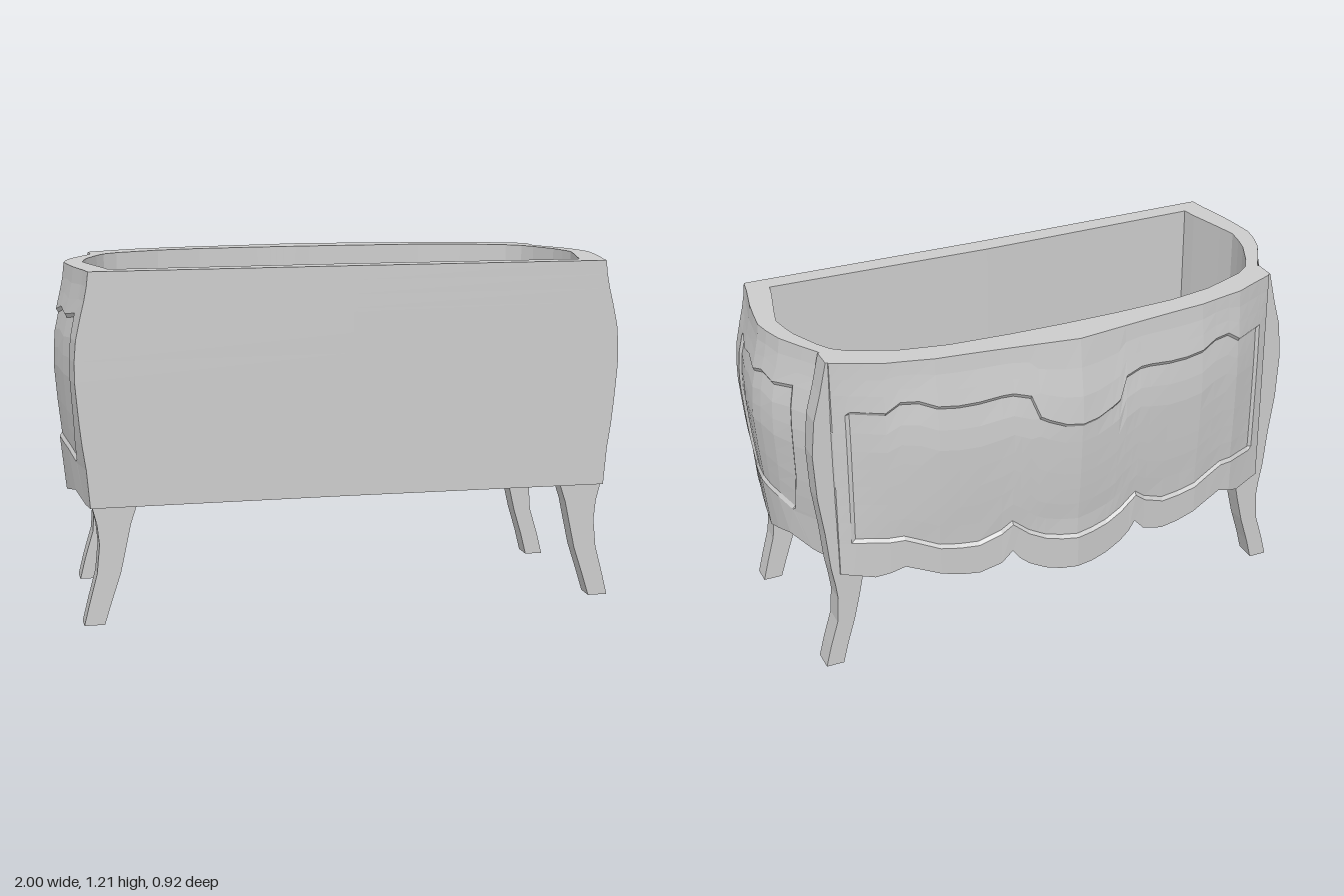
import * as THREE from 'three';

const material = new THREE.MeshStandardMaterial({ color: 0xcccccc, flatShading: true });
const TOP = 1.21, FLOOR = 0.53, RECESS = 0.01, BEVEL = 0.013;
const mix = THREE.MathUtils.lerp;

// Piecewise-linear lookup: rows are [key, value, value...] with rising keys
function look(table, key, col = 1) {
  let i = 1;
  while (i < table.length - 1 && key > table[i][0]) i++;
  const a = table[i - 1], b = table[i];
  const f = THREE.MathUtils.clamp((key - a[0]) / (b[0] - a[0]), 0, 1);
  return mix(a[col], b[col], f);
}

// Swelling of the walls by height
const BULGE = [[0.3, -0.05], [0.5, -0.042], [0.6, -0.025], [0.72, -0.012], [0.87, 0],
  [0.97, -0.006], [1.07, -0.028], [1.14, -0.046], [TOP, -0.054]];

// End wall by z: outer x, inner x, inner z, bottom edge
const SIDE = [[-0.165, 0.885, 0.79, -0.15, 0.4], [-0.1, 0.925, 0.82, -0.1, 0.41], [-0.01, 0.976, 0.865, 0, 0.44],
  [0.06, 0.998, 0.88, 0.06, 0.425], [0.12, 1.009, 0.89, 0.12, 0.41], [0.2, 1.001, 0.875, 0.19, 0.425],
  [0.28, 0.99, 0.86, 0.25, 0.44], [0.39, 0.967, 0.84, 0.33, 0.41], [0.455, 0.957, 0.83, 0.385, 0.41]];
const SIDE_KEYS = [-0.165, -0.1, -0.087, -0.01, 0.06, 0.12, 0.2, 0.28, 0.377, 0.39, 0.455];
const SIDE_HI = [[-0.1, 1.065], [-0.01, 1.05], [0.06, 1.068], [0.12, 1.05], [0.2, 1.068], [0.28, 1.05], [0.39, 1.065]];
const SIDE_LO = [[-0.1, 0.55], [-0.02, 0.58], [0.12, 0.602], [0.28, 0.582], [0.39, 0.545]];
// Width of the end panel from its foot to its head
const WAIST = [[0, 0.8], [0.3, 0.95], [0.62, 1], [1, 0.94]];

// Bowed wall by |x|: outer z, inner x, inner z
const BOW = [[0, -0.463, 0, -0.3], [0.24, -0.43, 0.2, -0.297], [0.5, -0.395, 0.42, -0.285],
  [0.67, -0.345, 0.58, -0.255], [0.83, -0.25, 0.74, -0.19]];
const BOW_KEYS = [0, 0.06, 0.12, 0.15, 0.18, 0.215, 0.24, 0.28, 0.36, 0.43, 0.5, 0.56, 0.62, 0.67, 0.72,
  0.775, 0.79, 0.83];
const BOW_HI = [[0, 0.9], [0.08, 0.91], [0.15, 0.95], [0.18, 1.03], [0.25, 1.05], [0.4, 1.03], [0.5, 1.04],
  [0.6, 1.08], [0.67, 1.03], [0.78, 1.03]];
const BOW_LO = [[0, 0.42], [0.1, 0.43], [0.18, 0.47], [0.24, 0.52], [0.3, 0.47], [0.38, 0.45], [0.5, 0.47],
  [0.62, 0.52], [0.78, 0.51]];
// Scalloped lower edge of the bowed wall by |x|
const APRON = [[0, 0.297], [0.06, 0.3], [0.12, 0.315], [0.18, 0.345], [0.215, 0.375], [0.24, 0.41], [0.28, 0.365],
  [0.36, 0.34], [0.43, 0.347], [0.5, 0.365], [0.62, 0.41], [0.72, 0.37], [0.83, 0.38]];

// Heights of one wall column: below the sunk panel, across it, and above it.
// t runs 0 to 1 across the panel and is null elsewhere; sunk marks its interior.
function wallRows(bottom, lo, hi, inPanel) {
  const rows = [{ y: bottom, t: null }, { y: lo, t: 0 }];
  for (let i = 0; i <= 7; i++) {
    const y = mix(lo + BEVEL, hi - BEVEL, i / 7);
    rows.push({ y, t: (y - lo) / (hi - lo), sunk: inPanel });
  }
  rows.push({ y: hi, t: 1 });
  for (const f of [0.33, 0.66, 1]) rows.push({ y: mix(hi, TOP, f), t: null });
  return rows;
}

// Closes a column over the rim, down the inside, and back to the bottom edge
function closeColumn(outer, ix, iz, upper, lower) {
  return [...outer, new THREE.Vector3(ix, TOP, iz), new THREE.Vector3(ix, FLOOR + 0.01, iz),
    upper, lower, outer[0].clone()];
}

// Underside sloping from the floor out to the bottom edge
function slopedColumn(outer, ix, iz) {
  const inner = new THREE.Vector3(ix, FLOOR, iz);
  const lower = outer[0].clone().lerp(new THREE.Vector3(ix, outer[0].y, iz), 0.15);
  return closeColumn(outer, ix, iz, inner, lower);
}

function sideColumn(s, z) {
  const inPanel = z > -0.1 && z < 0.39, movable = z >= -0.1 && z <= 0.39;
  const rows = wallRows(look(SIDE, z, 4), look(SIDE_LO, z), look(SIDE_HI, z), inPanel);
  const outer = rows.map(({ y, t, sunk }) => {
    const zz = movable && t !== null ? mix(0.145, z, look(WAIST, t)) : z;
    return new THREE.Vector3(s * (look(SIDE, zz) + look(BULGE, y) - (sunk ? RECESS : 0)), y, zz);
  });
  return slopedColumn(outer, s * look(SIDE, z, 2), look(SIDE, z, 3));
}

// Bowed wall column with its thick apron hanging below the floor
function bowColumn(x) {
  const a = Math.abs(x), bottom = look(APRON, a);
  const swell = 0.7 * (1 - (a / 0.83) ** 4);
  const outer = wallRows(bottom, look(BOW_LO, a), look(BOW_HI, a), a < 0.79).map(({ y, sunk }) =>
    new THREE.Vector3(x, y, look(BOW, a) - swell * look(BULGE, y) + (sunk ? RECESS : 0)));
  const z = Math.max(-0.24, outer[0].z + 0.05);
  return closeColumn(outer, Math.sign(x) * look(BOW, a, 2), look(BOW, a, 3),
    new THREE.Vector3(x, FLOOR, z), new THREE.Vector3(x, bottom, z));
}

// Middle of the flat wall, a touch hollow
function flatColumn() {
  const outer = wallRows(0.41, 0.545, 1.065, false).map(({ y }) => new THREE.Vector3(0, y, 0.446));
  return slopedColumn(outer, 0, 0.37);
}

function wallColumns() {
  const left = SIDE_KEYS.slice().reverse().map(z => sideColumn(1, z));
  const right = SIDE_KEYS.map(z => sideColumn(-1, z));
  const xs = [...BOW_KEYS.slice().reverse(), ...BOW_KEYS.slice(1).map(v => -v)];
  return [...left, ...xs.map(bowColumn), ...right, flatColumn()];
}

// Closed surface around a ring of columns
function loft(columns) {
  const rows = columns[0].length, n = columns.length, index = [];
  for (let i = 0; i < n; i++) {
    for (let j = 0; j < rows - 1; j++) {
      const a = i * rows + j, b = ((i + 1) % n) * rows + j;
      index.push(a, b, b + 1, a, b + 1, a + 1);
    }
  }
  const g = new THREE.BufferGeometry().setFromPoints(columns.flat());
  g.setIndex(index);
  g.computeVertexNormals();
  return g;
}

// Curved strip given as [y, outer x, inner x], extruded through its depth
function post(s, profile, z0, z1) {
  const outline = [...profile.map(p => [p[1], p[0]]), ...profile.slice().reverse().map(p => [p[2], p[0]])];
  const shape = new THREE.Shape(outline.map(([x, y]) => new THREE.Vector2(s * x, y)));
  return new THREE.ExtrudeGeometry(shape, { depth: z1 - z0, bevelEnabled: false }).translate(0, 0, z0);
}
const FRONT_LEG = [[0, 0.94, 0.87], [0.08, 0.92, 0.845], [0.18, 0.893, 0.812], [0.28, 0.883, 0.79],
  [0.35, 0.89, 0.775], [0.41, 0.905, 0.755], [0.465, 0.9, 0.82]];
const REAR_POST = [[0, 0.9, 0.835], [0.08, 0.88, 0.815], [0.18, 0.85, 0.785], [0.28, 0.843, 0.762], [0.34, 0.85, 0.75],
  [0.41, 0.862, 0.725], [0.44, 0.865, 0.79], [0.55, 0.875, 0.79], [0.7, 0.895, 0.79], [0.87, 0.903, 0.79],
  [1.0, 0.89, 0.79], [1.1, 0.863, 0.79], [TOP, 0.838, 0.79]];

function add(group, name, geometry) {
  const mesh = new THREE.Mesh(geometry, material);
  mesh.name = name;
  group.add(mesh);
}

export function createModel() {
  const group = new THREE.Group();
  group.name = 'bowedCabinet';

  // Hollow body with sunk panels on the bowed wall and both ends
  const columns = wallColumns();
  add(group, 'bodyWalls', loft(columns));

  // Floor, following the inside of the walls
  const inside = columns.map(c => c[c.length - 4]);
  const floor = new THREE.Shape(inside.map(p => new THREE.Vector2(p.x, -p.z)));
  add(group, 'floor', new THREE.ExtrudeGeometry(floor, { depth: 0.015, bevelEnabled: false })
    .rotateX(-Math.PI / 2).translate(0, FLOOR, 0));

  // Legs, the rear ones running up as corner posts
  for (const s of [1, -1]) {
    const label = s > 0 ? 'left' : 'right';
    add(group, label + 'FrontLeg', post(s, FRONT_LEG, 0.375, 0.445));
    add(group, label + 'RearPost', post(s, REAR_POST, -0.244, -0.165));
  }
  return group;
}
